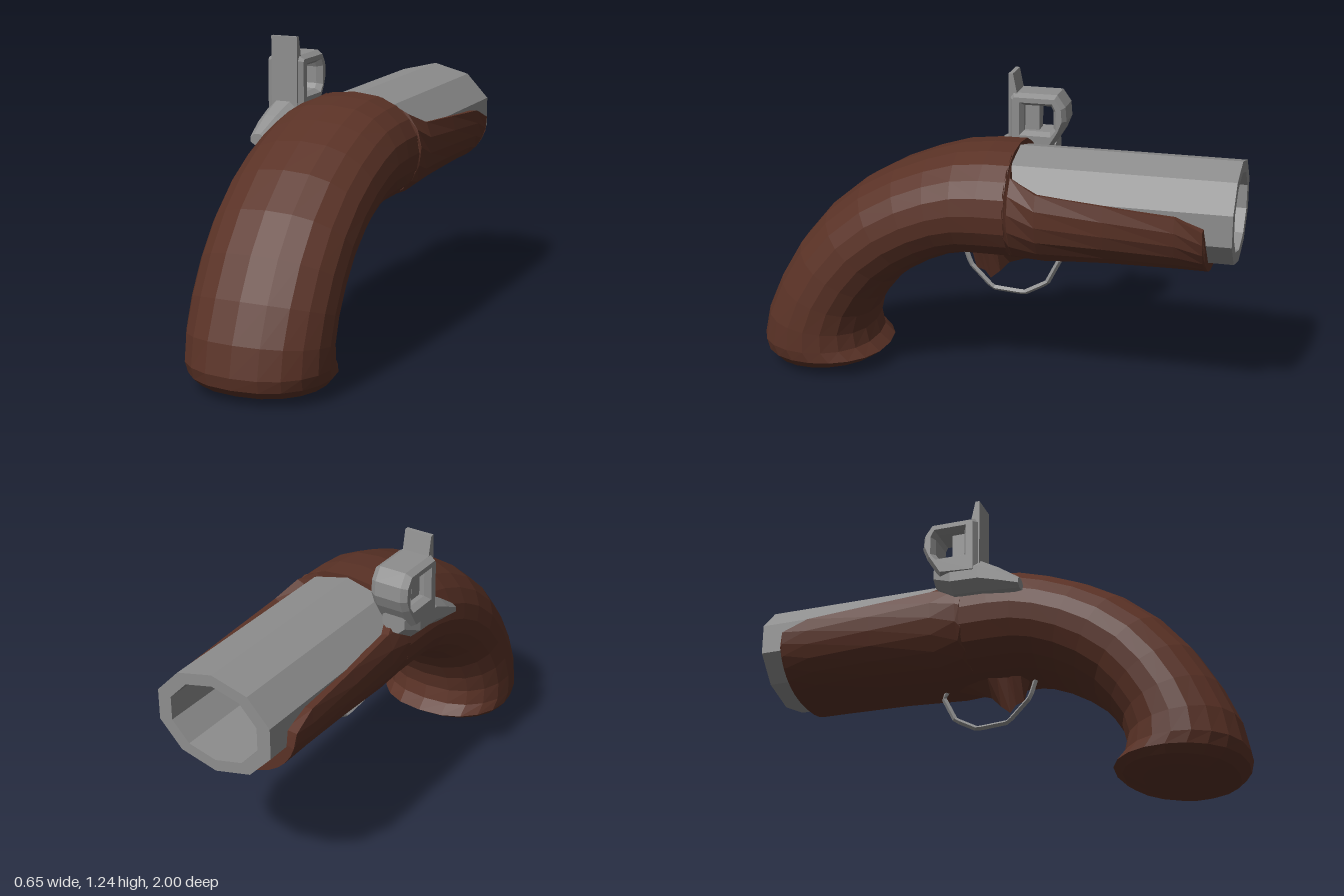
import * as THREE from 'three';

const CX = 0.025; // middle of barrel and stock

// Skin closed rings of [x, y, z]; rings run counter-clockwise seen from the far end
function loft(rings) {
  const n = rings[0].length, pos = rings.flat(2), idx = [];
  const quad = (a, b, c, d) => idx.push(a, b, c, a, c, d);
  for (let i = 0; i < rings.length - 1; i++)
    for (let j = 0; j < n; j++) {
      const a = i * n + j, b = i * n + (j + 1) % n;
      quad(a, b, b + n, a + n);
    }
  const end = (rings.length - 1) * n;
  for (let j = 0; j < n / 2 - 1; j++) {
    quad(n - 1 - j, n - 2 - j, j + 1, j);
    quad(end + j, end + j + 1, end + n - 2 - j, end + n - 1 - j);
  }
  const g = new THREE.BufferGeometry();
  g.setAttribute('position', new THREE.Float32BufferAttribute(pos, 3));
  g.setIndex(idx);
  const flat = g.toNonIndexed();
  flat.computeVertexNormals();
  return flat;
}

const fatCos = a => Math.sign(Math.cos(a)) * Math.abs(Math.cos(a)) ** 0.85;

// Upright elliptical ring
const oval = (cx, cy, z, rx, ry, n, turn = 0) => Array.from({ length: n }, (_, j) => {
  const a = turn + j / n * Math.PI * 2;
  return [cx + rx * Math.cos(a), cy + ry * Math.sin(a), z];
});

export function createModel() {
  const wood = new THREE.MeshStandardMaterial({ color: 0x5a3226, flatShading: true });
  wood.name = 'darkWood';
  const steel = new THREE.MeshStandardMaterial({ color: 0x8e8e8e, flatShading: true });
  steel.name = 'greySteel';

  const model = new THREE.Group();
  model.name = 'pistol';
  const add = (name, geometry, material, parent = model) => {
    const mesh = new THREE.Mesh(geometry, material);
    mesh.name = name;
    parent.add(mesh);
    return mesh;
  };

  // Curved grip: outer z, y; inner z, y; half width
  const grip = [
    [-0.105, 1.013, -0.105, 0.553, 0.293],
    [0, 1.012, 0.03, 0.553, 0.295],
    [0.13, 0.997, 0.1, 0.553, 0.295],
    [0.26, 0.957, 0.17, 0.54, 0.295],
    [0.4, 0.9, 0.25, 0.507, 0.295],
    [0.55, 0.815, 0.33, 0.46, 0.295],
    [0.7, 0.69, 0.405, 0.4, 0.295],
    [0.82, 0.545, 0.465, 0.325, 0.295],
    [0.91, 0.39, 0.51, 0.25, 0.295],
    [0.975, 0.24, 0.525, 0.18, 0.295],
    [1.0, 0.12, 0.51, 0.12, 0.295],
    [0.99, 0.07, 0.465, 0.08, 0.29],
    [0.95, 0.035, 0.5, 0.055, 0.265],
    [0.88, 0.015, 0.58, 0.03, 0.21],
    [0.8, 0.004, 0.67, 0.006, 0.12],
  ];
  add('grip', loft(grip.map(([oz, oy, iz, iy, w]) =>
    Array.from({ length: 20 }, (_, j) => {
      const a = j / 20 * Math.PI * 2, t = (1 - Math.sin(a)) / 2;
      return [CX + w * fatCos(a), oy + (iy - oy) * t, oz + (iz - oz) * t];
    }))), wood);

  // Trough under the barrel: z, lip height, underside height
  const trough = [
    [-0.9, 0.73, 0.565], [-0.89, 0.795, 0.565], [-0.78, 0.842, 0.565],
    [-0.5, 0.864, 0.56], [-0.23, 0.885, 0.543], [-0.12, 0.935, 0.55], [-0.1, 1.0, 0.552],
  ];
  add('foreStock', loft(trough.map(([z, lip, low]) => {
    const a0 = Math.asin((lip - 0.79) / 0.225), outer = [], inner = [];
    for (let j = 0; j <= 14; j++) {
      const a = -Math.PI - a0 + (Math.PI + 2 * a0) * j / 14, s = Math.sin(a);
      outer.push([CX + 0.295 * fatCos(a), 0.79 + s * (s < 0 ? 0.79 - low : 0.225), z]);
      inner.unshift([CX + 0.242 * Math.cos(a), 0.795 + 0.186 * s, z]);
    }
    return [...outer, ...inner];
  })), wood);

  // Ten-sided hollow barrel
  const bore = [[0, 0.02], [0.95, 0.02], [1, 0.06], [1, 1], [0.77, 1], [0.75, 0.15], [0, 0.15]]
    .map(p => new THREE.Vector2(...p));
  const barrel = new THREE.LatheGeometry(bore, 10);
  barrel.rotateX(-Math.PI / 2).scale(0.268, 0.207, 1).translate(CX, 0.796, 0);
  add('barrel', barrel, steel);

  // Trigger spur: z, lowest point, half width
  const spur = [[-0.2, 0.542, 0.05], [-0.06, 0.495, 0.07], [-0.02, 0.452, 0.06], [0.02, 0.418, 0.05],
    [0.045, 0.45, 0.06], [0.08, 0.46, 0.05], [0.1, 0.55, 0.03]];
  add('trigger', loft(spur.map(([z, low, w]) => oval(CX, 0.575, z, w, 0.575 - low, 4))), wood);

  // Trigger guard
  const path = [[0.137, 0.57], [0.105, 0.475], [0.01, 0.378], [-0.125, 0.368], [-0.22, 0.42],
    [-0.27, 0.52], [-0.25, 0.57]].map(([z, y]) => new THREE.Vector3(CX, y, z));
  const guard = new THREE.CurvePath();
  path.slice(1).forEach((p, i) => guard.add(new THREE.LineCurve3(path[i], p)));
  add('triggerGuard', new THREE.TubeGeometry(guard, 24, 0.011, 4), steel);

  // Hammer on the right side
  const hammer = new THREE.Group();
  hammer.name = 'hammer';
  model.add(hammer);
  const toShape = (pts, Type = THREE.Shape) => new Type(pts.map(p => new THREE.Vector2(...p)));
  const plate = (shape, x, width, bevel) => {
    const opts = { depth: width - 2 * bevel, bevelEnabled: bevel > 0, bevelThickness: bevel,
      bevelSize: bevel * 0.6, bevelOffset: -bevel * 0.6, bevelSegments: 1 };
    return new THREE.ExtrudeGeometry(shape, opts)
      .translate(0, 0, bevel - width / 2).rotateY(Math.PI / 2).translate(x, 0, 0);
  };
  const head = toShape([[0.005, 0.9], [0.17, 0.91], [0.225, 1.0], [0.245, 1.05], [0.24, 1.11],
    [0.205, 1.16], [0.02, 1.16], [0.005, 1.14]]);
  head.holes.push(toShape([[0.065, 1.0], [0.065, 1.11], [0.18, 1.11], [0.19, 1.09], [0.19, 1.02],
    [0.175, 1.0]], THREE.Path));
  add('hammerHead', plate(head, -0.248, 0.163, 0.025), steel, hammer);
  const thumb = toShape([[0, 0.9], [0.06, 0.9], [0.06, 1.14], [0.035, 1.16], [0.018, 1.24], [0, 1.24]]);
  add('thumbPost', plate(thumb, -0.246, 0.118, 0), steel, hammer);
  const core = toShape([[0.05, 0.96], [0.125, 0.96], [0.125, 1.13], [0.05, 1.13]]);
  add('innerPost', plate(core, -0.248, 0.07, 0), steel, hammer);

  // Rounded foot and tail: centre x, centre y, z, half width, half height
  const foot = [[-0.25, 0.93, -0.2, 0.055, 0.05], [-0.25, 0.905, -0.12, 0.08, 0.075],
    [-0.253, 0.9, 0, 0.08, 0.075], [-0.27, 0.87, 0.08, 0.062, 0.055], [-0.285, 0.835, 0.17, 0.035, 0.025]];
  add('hammerFoot', loft(foot.map(f => oval(...f, 8, Math.PI / 8))), steel, hammer);

  return model;
}
